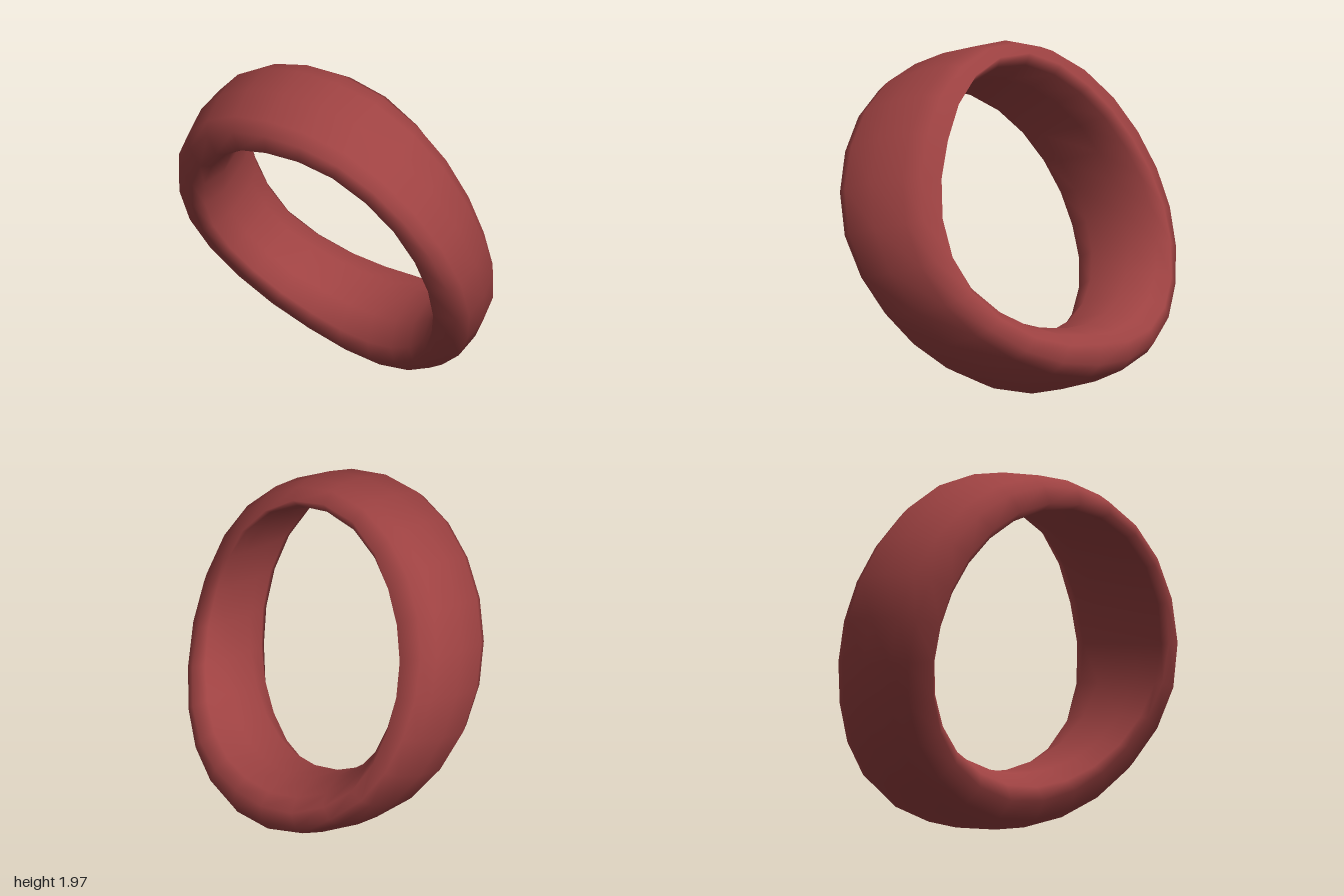
import * as THREE from 'three';

const SEGMENTS = 24;

// Rims every 30 degrees around the ring, as [rim radius, height along the axis, outer wall radius]
const BACK_RIM = [
  [0.84, 0.39, 1.04], [0.93, 0.435, 1.06], [0.935, 0.455, 1.06], [0.885, 0.4, 1.05],
  [0.88, 0.305, 1.04], [0.9, 0.275, 1.02], [0.877, 0.33, 1.02], [0.842, 0.375, 1.03],
  [0.867, 0.345, 1.02], [0.855, 0.295, 0.98], [0.81, 0.315, 0.97], [0.8, 0.34, 1.0],
];
const FRONT_RIM = [
  [0.86, -0.28, 1.04], [0.88, -0.26, 1.03], [0.91, -0.24, 1.03], [0.9, -0.26, 1.05],
  [0.86, -0.3, 1.08], [0.82, -0.32, 1.04], [0.84, -0.32, 1.03], [0.88, -0.3, 1.06],
  [0.87, -0.28, 1.06], [0.84, -0.3, 1.07], [0.84, -0.335, 1.06], [0.85, -0.32, 1.04],
];

// Cross-section as [position from front rim (-1) to back rim (1), bulge away from the rim line]
const OUTSIDE = [[-1, 0], [-0.85, 0.6], [-0.6, 0.88], [0, 1], [0.6, 0.88], [0.85, 0.6], [1, 0]];
const INSIDE = [[0.85, 0.5], [0.4, 1], [-0.4, 1], [-0.85, 0.5]];

function rimCurve(points) {
  return new THREE.CatmullRomCurve3(points.map((p) => new THREE.Vector3(...p)), true, 'catmullrom');
}

function bandGeometry() {
  const back = rimCurve(BACK_RIM), front = rimCurve(FRONT_RIM);
  const positions = [], indices = [];
  const count = OUTSIDE.length + INSIDE.length;

  for (let i = 0; i < SEGMENTS; i++) {
    const angle = (i / SEGMENTS) * Math.PI * 2;
    const sin = Math.sin(angle), cos = Math.cos(angle);
    const b = back.getPoint(i / SEGMENTS), f = front.getPoint(i / SEGMENTS);
    const inner = 0.77 + 0.08 * sin + 0.02 * cos - 0.03 * Math.cos(2 * angle);

    const addPoint = (s, bulge, isOutside) => {
      const rim = f.clone().lerp(b, (s + 1) / 2);
      const r = THREE.MathUtils.lerp(rim.x, isOutside ? rim.z : inner, bulge);
      // The wall slants, so the two rims are offset from each other
      positions.push(r * cos - 0.01 * s, r * sin - 0.1 * s, rim.y);
    };
    OUTSIDE.forEach(([s, bulge]) => addPoint(s, bulge, true));
    INSIDE.forEach(([s, bulge]) => addPoint(s, bulge, false));

    for (let j = 0; j < count; j++) {
      const next = ((i + 1) % SEGMENTS) * count, here = i * count, k = (j + 1) % count;
      indices.push(here + j, next + j, next + k, here + j, next + k, here + k);
    }
  }
  const geometry = new THREE.BufferGeometry();
  geometry.setAttribute('position', new THREE.Float32BufferAttribute(positions, 3));
  geometry.setIndex(indices);
  return geometry;
}

export function createModel() {
  const group = new THREE.Group();
  group.name = 'ring';

  // Lean the ring so its axis points up, back and to its left
  const axis = new THREE.Vector3(0.49, 0.46, -0.74).normalize();
  const across = new THREE.Vector3(-axis.y, axis.x, 0).normalize();
  const along = new THREE.Vector3().crossVectors(axis, across);
  const geometry = bandGeometry();
  geometry.applyMatrix4(new THREE.Matrix4().makeBasis(across, along, axis));
  geometry.translate(0, 1, 0);
  geometry.computeVertexNormals();

  const band = new THREE.Mesh(geometry, new THREE.MeshStandardMaterial({ color: 0x9e4242 }));
  band.name = 'band';
  group.add(band);
  return group;
}
